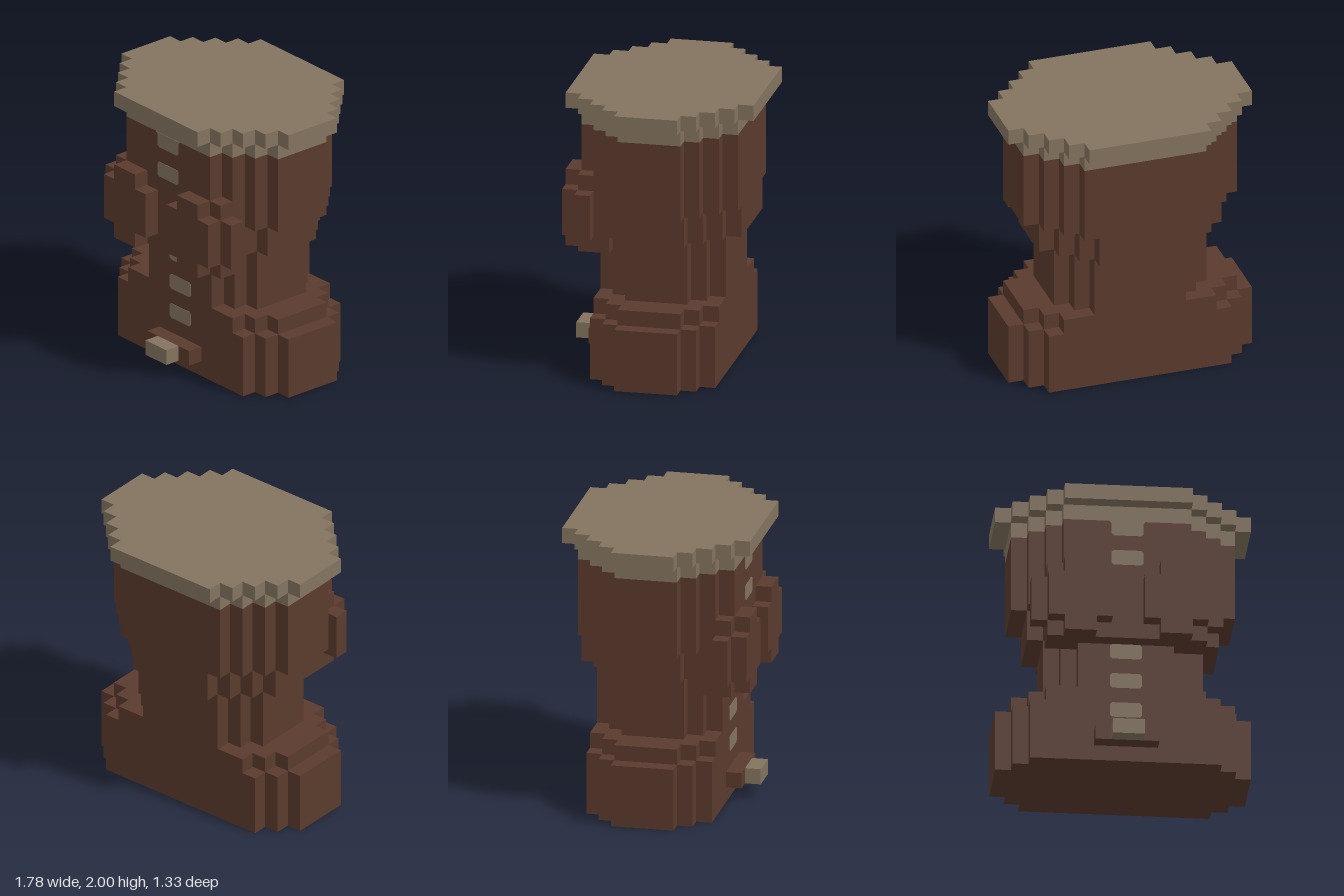
import * as THREE from 'three';

const U = 1 / 9; // one block

export function createModel() {
  const model = new THREE.Group();
  const brown = new THREE.MeshStandardMaterial({ color: 0x5a3a2d });
  const tan = new THREE.MeshStandardMaterial({ color: 0x84745f });

  const add = (name, geometry, material) => {
    const mesh = new THREE.Mesh(geometry, material);
    mesh.name = name;
    model.add(mesh);
    return mesh;
  };

  // box given by its block limits
  const box = (name, material, x0, x1, y0, y1, z0, z1) => {
    const mesh = add(name, new THREE.BoxGeometry((x1 - x0) * U, (y1 - y0) * U, (z1 - z0) * U), material);
    mesh.position.set((x0 + x1) / 2 * U, (y0 + y1) / 2 * U, (z0 + z1) / 2 * U);
    return mesh;
  };

  // slab with staircase corners: half width, half depth, each corner stepping in to depth 2
  const slab = (name, material, halfX, halfZ, y0, y1) => {
    const corner = [[halfX, 2]];
    for (let z = 2; z < halfZ; z++) {
      const x = halfX - (z - 1);
      corner.push([x, z], [x, z + 1]);
    }
    const back = corner.slice().reverse();
    const outline = [
      ...corner,
      ...back.map(([x, z]) => [-x, z]),
      ...corner.map(([x, z]) => [-x, -z]),
      ...back.map(([x, z]) => [x, -z]),
    ].map(([x, z]) => new THREE.Vector2(x * U, z * U));
    const geometry = new THREE.ExtrudeGeometry(new THREE.Shape(outline), { depth: (y1 - y0) * U, bevelEnabled: false });
    geometry.rotateX(-Math.PI / 2);
    add(name, geometry, material).position.y = y0 * U;
  };

  // stacked body
  slab('base', brown, 8, 4, 0, 4);
  slab('baseStep', brown, 7, 4, 4, 5);
  slab('waist', brown, 5, 4, 5, 9);
  slab('lowerChest', brown, 6, 5, 9, 11);
  slab('upperChest', brown, 7, 5, 11, 16);
  slab('collar', tan, 7, 5, 16, 17);
  slab('cap', tan, 8, 6, 17, 18);

  // chest bulges, mirrored
  box('chestBand', brown, -5, 5, 8, 9, 3, 5);
  for (const s of [1, -1]) {
    const side = (name, a, b, ...rest) => box(name, brown, Math.min(s * a, s * b), Math.max(s * a, s * b), ...rest);
    side('chestBulgeBack', 2, 5, 8, 13, 3, 5);
    side('chestBulgeSide', 5, 6, 9, 12, 4, 5);
    side('chestBulgeFront', 2, 4, 8, 13, 5, 6);
    side('chestBulgeInner', 1, 2, 9, 12, 5, 6);
    side('chestBulgeOuter', 4, 5, 9, 12, 5, 6);
  }

  // buckle at the foot of the front
  box('buckleStrap', brown, -2, 2, 1, 2, 4, 5);
  box('buckle', tan, -1, 1, 1, 2, 5, 6);

  // painted buttons with clipped corners
  const button = (name, y, z) => {
    const w = U, h = U / 2, c = 0.015;
    const shape = new THREE.Shape([
      [-w + c, -h], [w - c, -h], [w, -h + c], [w, h - c],
      [w - c, h], [-w + c, h], [-w, h - c], [-w, -h + c],
    ].map(([px, py]) => new THREE.Vector2(px, py)));
    const geometry = new THREE.ExtrudeGeometry(shape, { depth: 0.003, bevelEnabled: false });
    add(name, geometry, tan).position.set(0, (y + 0.5) * U, z * U);
  };
  for (const y of [3, 5, 7]) button('lowerButton', y, 4);
  button('upperButton', 13, 5);

  // collar tab running down into the top button
  const tab = new THREE.Shape([
    [-1, 15.15], [-0.85, 15], [0.85, 15], [1, 15.15], [1, 15.85], [1.15, 16], [-1.15, 16], [-1, 15.85],
  ].map(([x, y]) => new THREE.Vector2(x * U, y * U)));
  add('collarTab', new THREE.ExtrudeGeometry(tab, { depth: 0.003, bevelEnabled: false }), tan).position.z = 5 * U;

  return model;
}
